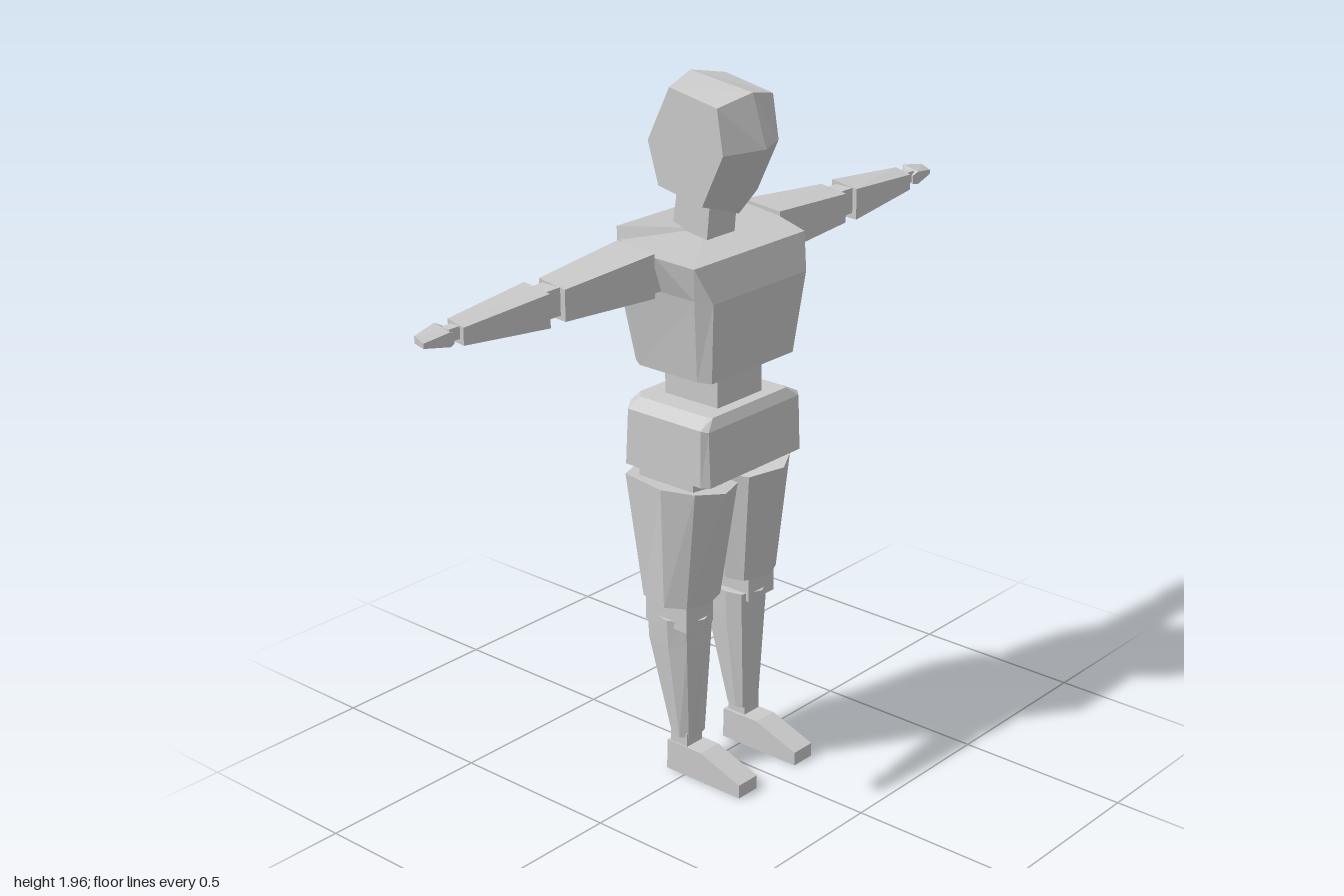
import * as THREE from 'three';

const material = new THREE.MeshStandardMaterial({ color: 0xcccccc, flatShading: true });

// Skin a list of equal-length rings of [x, y, z] and close both ends.
function loft(name, rings) {
  const tris = [];
  const n = rings[0].length;
  const mid = (r) => [0, 1, 2].map((k) => r.reduce((s, p) => s + p[k], 0) / n);
  const first = rings[0], last = rings[rings.length - 1];
  const c0 = mid(first), c1 = mid(last);
  for (let j = 0; j < n; j++) {
    const k = (j + 1) % n;
    for (let i = 0; i < rings.length - 1; i++) {
      const a = rings[i], b = rings[i + 1];
      tris.push([a[j], a[k], b[k]], [a[j], b[k], b[j]]);
    }
    tris.push([c0, first[k], first[j]], [c1, last[j], last[k]]);
  }
  // Signed volume tells whether the faces point outwards.
  let volume = 0;
  const [u, v, w, o] = [0, 0, 0, 0].map(() => new THREE.Vector3());
  o.set(...c0);
  for (const [a, b, c] of tris) {
    u.set(...a).sub(o); v.set(...b).sub(o); w.set(...c).sub(o);
    volume += u.dot(v.cross(w));
  }
  if (volume < 0) tris.forEach((t) => t.reverse());
  const geometry = new THREE.BufferGeometry();
  geometry.setAttribute('position', new THREE.Float32BufferAttribute(tris.flat(2), 3));
  geometry.computeVertexNormals();
  const mesh = new THREE.Mesh(geometry, material);
  mesh.name = name;
  return mesh;
}

function block(name, x0, x1, y0, y1, z0, z1) {
  const mesh = new THREE.Mesh(new THREE.BoxGeometry(Math.abs(x1 - x0), y1 - y0, z1 - z0), material);
  mesh.position.set((x0 + x1) / 2, (y0 + y1) / 2, (z0 + z1) / 2);
  mesh.name = name;
  return mesh;
}

// Symmetric ring around x = 0 from a half outline running front to back.
const mirrorRing = (half) => [...half, ...half.map(([x, y, z]) => [-x, y, z]).reverse()];

// Four-sided arm section; the back edge of the top sits a little higher.
const armRing = (s, x, y0, y1, z0, z1) => [
  [s * x, y0, z1], [s * x, y1 - 0.012, z1], [s * x, y1, z0], [s * x, y0 + 0.006, z0],
];

// Eight-sided leg section: outer, inner and ridge x, front and back z.
function legRing(s, xo, xi, zf, zb, yo, yi = yo) {
  const w = xo - xi, d = zf - zb, xm = (xo + xi) / 2;
  const pts = [
    [xm, zf], [xo - 0.17 * w, zf - 0.13 * d], [xo, zf - 0.4 * d], [xo - 0.13 * w, zb + 0.12 * d],
    [xm, zb], [xi + 0.13 * w, zb + 0.12 * d], [xi, zf - 0.4 * d], [xi + 0.08 * w, zf - 0.13 * d],
  ];
  return pts.map(([x, z]) => [s * x, yi + (yo - yi) * (x - xi) / w, z]);
}

function createHead() {
  const ridge = [[1.93, 0.105], [1.79, 0.15], [1.605, 0.06], [1.65, -0.145], [1.80, -0.18], [1.957, -0.105]];
  const side = [[1.905, 0.08], [1.785, 0.10], [1.64, 0.03], [1.67, -0.12], [1.785, -0.155], [1.935, -0.08]];
  const at = (x, pts) => pts.map(([y, z]) => [x, y, z]);
  return loft('head', [at(-0.11, side), at(0, ridge), at(0.11, side)]);
}

function createArm(s) {
  const arm = new THREE.Group();
  arm.name = s > 0 ? 'leftArm' : 'rightArm';
  arm.add(
    block('shoulderJoint', s * 0.16, s * 0.275, 1.43, 1.5, -0.1, -0.02),
    loft('upperArm', [armRing(s, 0.25, 1.422, 1.553, -0.135, -0.008), armRing(s, 0.56, 1.437, 1.532, -0.112, -0.024)]),
    block('elbow', s * 0.55, s * 0.62, 1.45, 1.523, -0.1, -0.04),
    loft('forearm', [armRing(s, 0.61, 1.433, 1.534, -0.114, -0.026), armRing(s, 0.885, 1.458, 1.515, -0.096, -0.043)]),
    block('wrist', s * 0.875, s * 0.92, 1.473, 1.505, -0.086, -0.055),
    loft('hand', [
      armRing(s, 0.908, 1.468, 1.505, -0.09, -0.05),
      armRing(s, 0.925, 1.465, 1.514, -0.1, -0.045),
      armRing(s, 1.0, 1.478, 1.503, -0.088, -0.057),
    ]),
  );
  return arm;
}

function createLeg(s) {
  const leg = new THREE.Group();
  leg.name = s > 0 ? 'leftLeg' : 'rightLeg';
  const profile = [[0, 0.2], [0.04, 0.2], [0.09, 0.06], [0.09, -0.062], [0, -0.065]];
  const foot = (x) => profile.map(([y, z]) => [s * x, y, z]);
  leg.add(
    block('hip', s * 0.065, s * 0.185, 0.84, 0.93, -0.13, 0.06),
    loft('thigh', [legRing(s, 0.237, 0.005, 0.12, -0.2, 0.887, 0.862), legRing(s, 0.22, 0.035, 0.065, -0.135, 0.535)]),
    block('knee', s * 0.075, s * 0.185, 0.46, 0.56, -0.113, 0.035),
    loft('shin', [
      legRing(s, 0.195, 0.05, 0.045, -0.137, 0.483),
      legRing(s, 0.188, 0.055, 0.042, -0.137, 0.4),
      legRing(s, 0.165, 0.075, 0.02, -0.06, 0.117),
    ]),
    block('ankle', s * 0.092, s * 0.155, 0.08, 0.13, -0.052, 0.008),
    loft('foot', [foot(0.083), foot(0.158)]),
  );
  return leg;
}

export function createModel() {
  const model = new THREE.Group();
  model.name = 'figure';

  // Neck leans forward towards the head.
  const neck = loft('neck', [
    mirrorRing([[0.055, 1.5, -0.005], [0.055, 1.52, -0.125]]),
    mirrorRing([[0.055, 1.65, 0.01], [0.055, 1.68, -0.1]]),
  ]);

  // Chest, with a top that slopes up towards the back.
  const chest = loft('chest', [
    mirrorRing([[0.165, 1.193, 0.11], [0.178, 1.193, 0.07], [0.178, 1.193, -0.13], [0.155, 1.193, -0.165]]),
    mirrorRing([[0.187, 1.42, 0.135], [0.21, 1.425, 0.09], [0.215, 1.43, -0.155], [0.19, 1.435, -0.195]]),
    mirrorRing([[0.222, 1.515, 0.1], [0.248, 1.53, -0.01], [0.24, 1.55, -0.14], [0.218, 1.577, -0.168]]),
  ]);

  const waist = block('waist', -0.09, 0.09, 1.07, 1.22, -0.12, 0.065);

  const pelvis = loft('pelvis', [
    mirrorRing([[0.185, 0.91, 0.122], [0.2, 0.91, 0.1], [0.2, 0.91, -0.165], [0.145, 0.91, -0.2]]),
    mirrorRing([[0.185, 1.065, 0.116], [0.2, 1.07, 0.1], [0.2, 1.07, -0.155], [0.145, 1.07, -0.195]]),
    mirrorRing([[0.15, 1.093, 0.1], [0.157, 1.093, 0.085], [0.157, 1.093, -0.15], [0.125, 1.093, -0.178]]),
  ]);

  model.add(createHead(), neck, chest, waist, pelvis);
  for (const s of [1, -1]) model.add(createArm(s), createLeg(s));
  return model;
}
